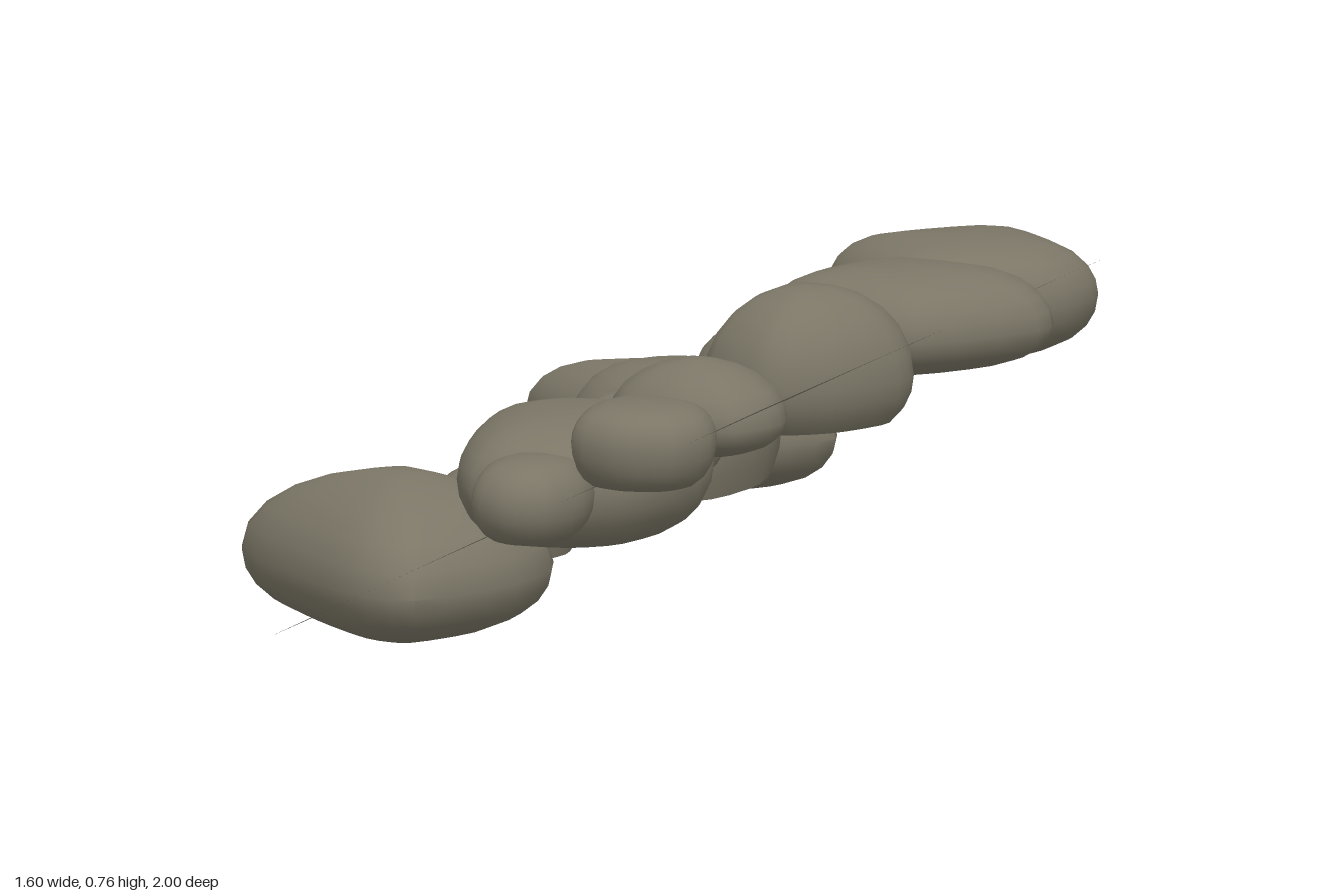
import * as THREE from 'three';
import { toCreasedNormals } from 'three/addons/utils/BufferGeometryUtils.js';

const squared = (v, power) => Math.sign(v) * Math.abs(v) ** power;

// Squarish oval plan of eight points, narrower towards its own +x end, turned by yaw
function oval(cx, cz, a, b, yaw = 0, taper = 0.1) {
  const points = [];
  for (let i = 0; i < 8; i++) {
    const t = Math.PI * (1 - i / 4);
    const u = a * squared(Math.cos(t), 0.85);
    const v = b * squared(Math.sin(t), 0.85) * (1 - taper * Math.cos(t));
    points.push([cx + u * Math.cos(yaw) + v * Math.sin(yaw), cz - u * Math.sin(yaw) + v * Math.cos(yaw)]);
  }
  return points;
}

// A sphere reshaped to fill a plan outline [x, z]. Heights are bottom, waist and top;
// crown and base set how boxy (below 1) or peaked (above 1) each half is,
// and cut is the level where the underside is sliced flat.
function boulderGeometry(outline, [bottom, waist, top], { crown = 0.65, base = 0.65, cut = -0.9 }) {
  const curve = new THREE.CatmullRomCurve3(outline.map(([x, z]) => new THREE.Vector3(x, 0, z)), true, 'catmullrom', 0.35);
  const centre = new THREE.Vector3();
  curve.getSpacedPoints(40).slice(1).forEach(p => centre.addScaledVector(p, 1 / 40));

  const g = new THREE.SphereGeometry(1, 24, 12);
  const { position, uv } = g.attributes;
  for (let i = 0; i < position.count; i++) {
    const y = position.getY(i);
    const r = Math.hypot(position.getX(i), position.getZ(i));
    const rim = curve.getPoint(uv.getX(i) - Math.floor(uv.getX(i)));
    const p = centre.clone().lerp(rim, r < 1e-6 ? 0 : r ** (y > 0 ? crown : base));
    p.y = y > 0 ? waist + (top - waist) * y : waist - (waist - bottom) * Math.max(y, cut) / cut;
    position.setXYZ(i, p.x, p.y, p.z);
  }
  return toCreasedNormals(g, 0.8);
}

export function createModel() {
  const model = new THREE.Group();
  model.name = 'rockySlope';
  const stone = new THREE.MeshStandardMaterial({ color: 0x7b7666, side: THREE.DoubleSide });
  stone.name = 'stone';

  const add = (name, geometry) => {
    const mesh = new THREE.Mesh(geometry, stone);
    mesh.name = name;
    model.add(mesh);
  };
  const boulder = (name, outline, heights, form = {}) => add(name, boulderGeometry(outline, heights, form));

  // Thin sloping ground sheet
  const rise = 0.62, run = 1.2;
  const sheet = new THREE.PlaneGeometry(Math.hypot(rise, run), 1.78);
  sheet.rotateX(-Math.PI / 2).rotateZ(Math.atan2(rise, run)).translate(0.05, 0.33, 0.03);
  add('slopeSheet', sheet);

  // Front boulders
  boulder('frontLeftBoulder',
    [[-0.8, 0.53], [-0.65, 0.7], [-0.37, 0.9], [-0.2, 0.91], [-0.07, 0.65], [-0.1, 0.4], [-0.45, 0.23], [-0.62, 0.31]],
    [0, 0.13, 0.345], { crown: 1.2 });
  boulder('centreBoulder',
    [[-0.29, 0.38], [-0.22, 0.65], [-0.11, 0.79], [0.09, 0.76], [0.22, 0.64], [0.27, 0.4], [0.2, 0.22], [0.03, 0.17], [-0.18, 0.21]],
    [0.22, 0.36, 0.5], { base: 0.6 });
  boulder('frontPebble', oval(0.05, 0.84, 0.15, 0.13, -Math.PI / 2), [0.28, 0.37, 0.465]);
  boulder('frontRightStone', oval(0.33, 0.84, 0.16, 0.16), [0.43, 0.53, 0.615], { crown: 0.5, base: 0.5 });
  boulder('rightFrontStone', oval(0.33, 0.57, 0.205, 0.16, Math.PI), [0.46, 0.53, 0.665], { crown: 1.2 });

  // Right side boulders
  boulder('rightBoulder',
    [[0.22, 0.18], [0.24, 0.34], [0.43, 0.43], [0.57, 0.33], [0.65, 0.15], [0.57, 0.01], [0.27, 0.02]],
    [0.46, 0.56, 0.765], { crown: 0.95, cut: -0.7 });
  boulder('rightEdgeBoulder',
    [[0.19, -0.08], [0.28, 0.02], [0.6, 0.02], [0.795, -0.25], [0.73, -0.39], [0.54, -0.42], [0.3, -0.39]],
    [0.52, 0.61, 0.74]);

  // Back boulders
  boulder('backRightBoulder',
    [[0.08, -0.72], [0.11, -0.61], [0.37, -0.41], [0.64, -0.63], [0.67, -0.79], [0.61, -0.87], [0.37, -1]],
    [0.45, 0.57, 0.7], { crown: 0.55, base: 0.6 });
  boulder('backStone',
    [[-0.19, -0.72], [0.05, -0.51], [0.14, -0.7], [0.08, -0.84], [-0.02, -0.9], [-0.18, -0.8]],
    [0.25, 0.34, 0.47]);
  boulder('backLeftBoulder',
    [[-0.7, -0.74], [-0.37, -0.52], [-0.05, -0.55], [0.07, -0.72], [-0.1, -0.9], [-0.29, -0.97], [-0.63, -0.83]],
    [0.09, 0.21, 0.34]);

  // Middle boulders
  boulder('backCentreBoulder',
    [[-0.41, -0.4], [-0.36, -0.24], [-0.14, -0.04], [0.02, -0.19], [0.05, -0.4], [-0.02, -0.61], [-0.21, -0.61], [-0.34, -0.53]],
    [0.165, 0.27, 0.43], { cut: -0.5 });
  boulder('middleRightStone',
    [[-0.07, -0.31], [0, -0.16], [0.16, -0.09], [0.33, -0.15], [0.37, -0.35], [0.19, -0.52]],
    [0.34, 0.42, 0.56]);
  boulder('leftStone',
    [[-0.63, -0.2], [-0.47, -0.02], [-0.3, -0.1], [-0.28, -0.35], [-0.42, -0.44], [-0.63, -0.32]],
    [0.03, 0.1, 0.21]);
  boulder('middleLeftPebble', oval(-0.27, -0.03, 0.145, 0.15), [0.13, 0.21, 0.32], { cut: -0.5 });
  boulder('middleStone', oval(0, 0.11, 0.175, 0.17, Math.PI / 2), [0.28, 0.35, 0.48], { crown: 0.8 });
  boulder('middleLeftStone', oval(-0.3, 0.23, 0.165, 0.15, Math.PI), [0.11, 0.2, 0.3], { cut: -0.5 });
  return model;
}
